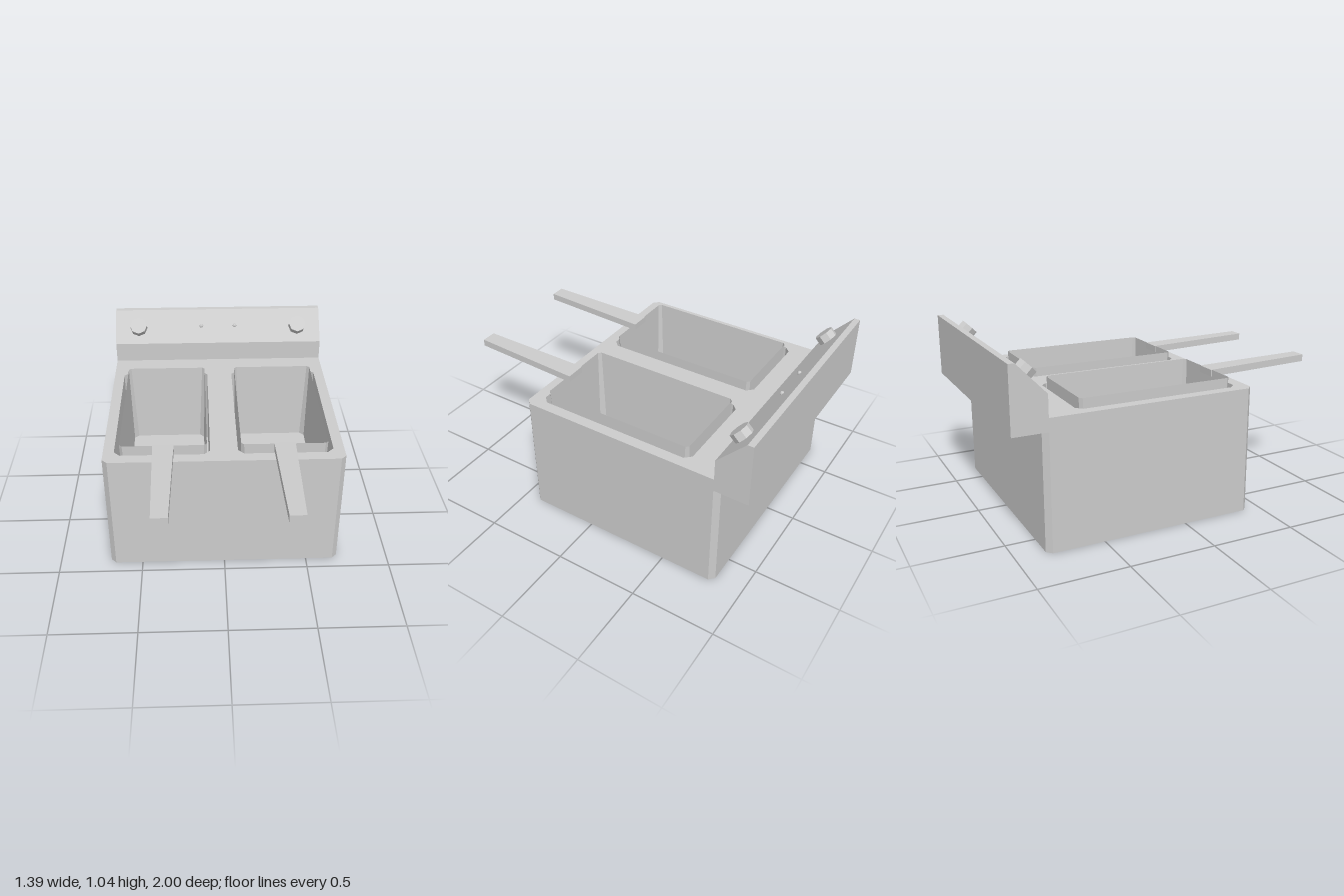
import * as THREE from 'three';

const material = new THREE.MeshStandardMaterial({ color: 0xcccccc, flatShading: true, side: THREE.DoubleSide });

// Corners of a rectangle with cut corners, as [x, z]
function cutRect(x0, x1, z0, z1, c) {
  return [
    [x0 + c, z0], [x1 - c, z0], [x1, z0 + c], [x1, z1 - c],
    [x1 - c, z1], [x0 + c, z1], [x0, z1 - c], [x0, z0 + c],
  ];
}

// Walls between a lower and an upper ring, with an optional floor
function shell(lower, y0, upper, y1, floor) {
  const pos = [];
  const n = lower.length;
  const put = (ring, i, y) => pos.push(ring[i % n][0], y, ring[i % n][1]);
  for (let i = 0; i < n; i++) {
    put(lower, i, y0); put(upper, i, y1); put(upper, i + 1, y1);
    put(lower, i, y0); put(upper, i + 1, y1); put(lower, i + 1, y0);
    if (floor && i > 0 && i < n - 1) {
      put(lower, 0, y0); put(lower, i + 1, y0); put(lower, i, y0);
    }
  }
  const geometry = new THREE.BufferGeometry();
  geometry.setAttribute('position', new THREE.Float32BufferAttribute(pos, 3));
  geometry.computeVertexNormals();
  return geometry;
}

export function createModel() {
  const model = new THREE.Group();
  const add = (name, geometry, parent = model) => {
    const mesh = new THREE.Mesh(geometry, material);
    mesh.name = name;
    parent.add(mesh);
    return mesh;
  };

  // Open-bottomed housing
  const deckY = 0.745;
  const outline = cutRect(-0.693, 0.693, -0.83, 0.423, 0.03);
  add('housing', shell(outline, 0, outline, deckY, false));

  // Deck with two well openings
  const toVectors = (ring) => ring.map(([x, z]) => new THREE.Vector2(x, -z));
  const deckShape = new THREE.Shape(toVectors(outline));
  const sides = [['left', 1], ['right', -1]];
  const wellRing = (cx) => cutRect(cx - 0.275, cx + 0.275, -0.62, 0.353, 0.035);
  for (const [, s] of sides) deckShape.holes.push(new THREE.Path(toVectors(wellRing(s * 0.355))));
  add('deck', new THREE.ShapeGeometry(deckShape).rotateX(-Math.PI / 2).translate(0, deckY, 0));

  // Sloped control panel across the back
  const profile = [[-1, 0.67], [-0.8, 0.67], [-0.8, 0.87], [-0.965, 1.043], [-1, 1.043]];
  const panelShape = new THREE.Shape(profile.map(([z, y]) => new THREE.Vector2(-z, y)));
  const panel = new THREE.ExtrudeGeometry(panelShape, { depth: 1.386, bevelEnabled: false });
  add('controlPanel', panel.translate(0, 0, -0.693).rotateY(Math.PI / 2));

  for (const [label, s] of sides) {
    const side = new THREE.Group();
    side.name = `${label}Station`;
    model.add(side);

    // Sunken well
    const well = wellRing(s * 0.355);
    add('well', shell(well, 0.24, well, deckY, true), side);

    // Slightly tapered basket standing in the well
    const cx = s * 0.348;
    const rim = cutRect(cx - 0.25, cx + 0.25, -0.592, 0.329, 0.016);
    const base = cutRect(cx - 0.24, cx + 0.24, -0.582, 0.318, 0.028);
    add('basket', shell(base, 0.27, rim, 0.792, true), side);

    // Handle narrowing and rising towards its tip
    const handle = new THREE.BoxGeometry(1, 1, 1);
    const p = handle.attributes.position;
    for (let i = 0; i < p.count; i++) {
      const tip = p.getZ(i) > 0;
      const top = p.getY(i) > 0;
      p.setXYZ(i, cx + p.getX(i) * (tip ? 0.09 : 0.122),
        tip ? (top ? 0.81 : 0.768) : (top ? 0.793 : 0.752), tip ? 1 : 0.322);
    }
    handle.computeVertexNormals();
    add('handle', handle, side);

    // Knob and indicator light on the slope
    const knob = add('knob', new THREE.CylinderGeometry(0.057, 0.057, 0.055, 8), side);
    knob.position.set(s * 0.538, 0.966, -0.862);
    knob.rotation.x = Math.PI / 4;
    add('indicatorLight', new THREE.SphereGeometry(0.013, 8, 6), side).position.set(s * 0.113, 0.958, -0.882);
  }
  return model;
}
